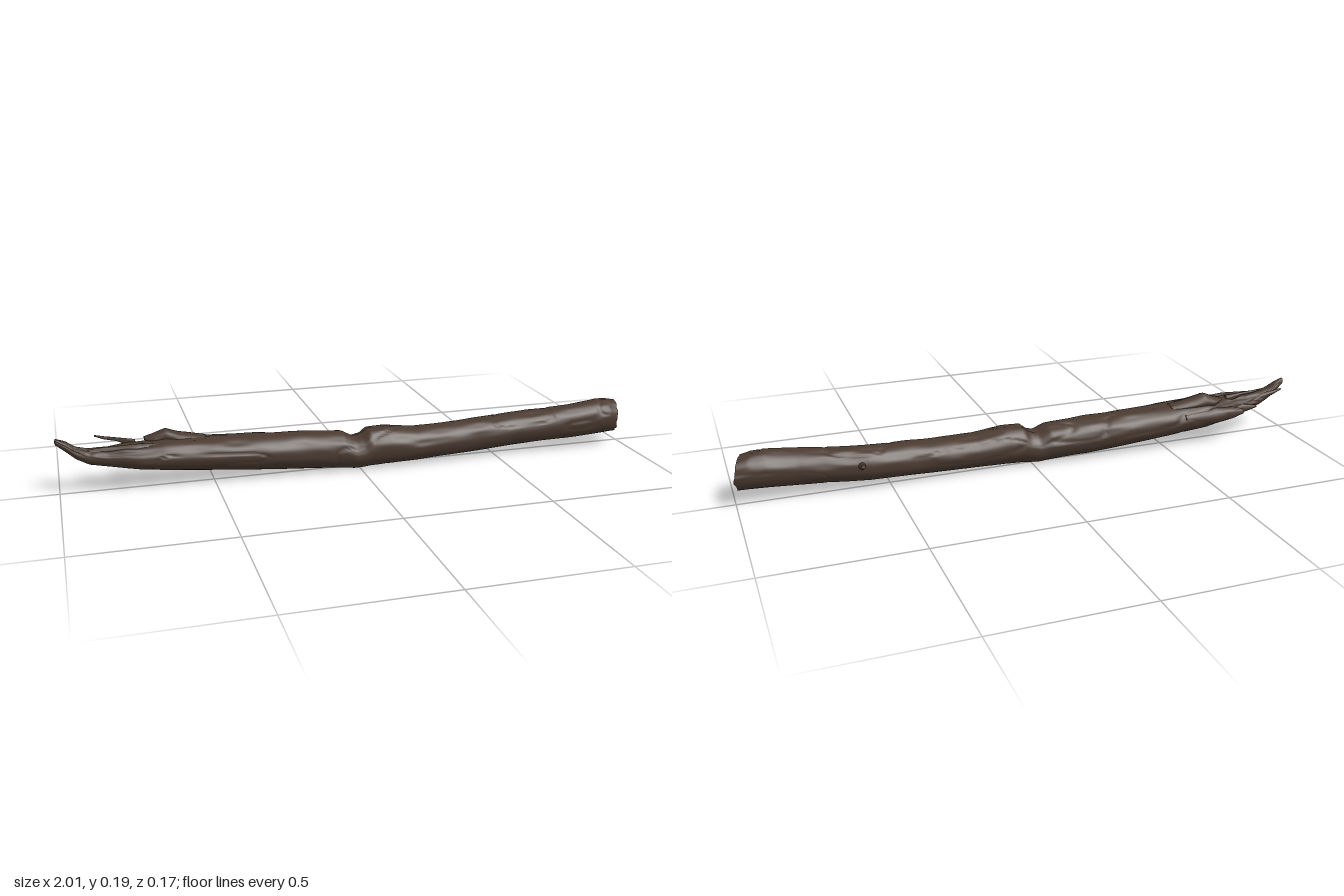
import * as THREE from 'three';

// Smooth value noise, periodic in v with period p
const hash = (i, j, s) => {
  const n = Math.sin(i * 127.1 + j * 311.7 + s * 74.7) * 43758.5453;
  return n - Math.floor(n);
};
function noise(u, v, p, s) {
  const i = Math.floor(u), j = Math.floor(v);
  const fade = t => t * t * (3 - 2 * t);
  const fu = fade(u - i), fv = fade(v - j);
  const at = (a, b) => hash(a, ((b % p) + p) % p, s);
  const mix = THREE.MathUtils.lerp;
  return mix(mix(at(i, j), at(i + 1, j), fu), mix(at(i, j + 1), at(i + 1, j + 1), fu), fv) * 2 - 1;
}

// Section bounds [yMin, yMax, zMin, zMax] at x, from rows of [x, yMin, yMax, zMin, zMax]
function sectionAt(rows, x) {
  let k = 0;
  while (k < rows.length - 2 && x > rows[k + 1][0]) k++;
  const t = THREE.MathUtils.clamp((x - rows[k][0]) / (rows[k + 1][0] - rows[k][0]), 0, 1);
  return [1, 2, 3, 4].map(c => THREE.MathUtils.lerp(rows[k][c], rows[k + 1][c], t));
}

// Long-grained bark relief; the underside is worn smoother than the top
function bark(x, a, rough, seed) {
  const v = a / (2 * Math.PI);
  const up = 0.35 + 0.65 * THREE.MathUtils.smoothstep(Math.sin(a), -0.5, 0.4);
  const broad = noise(x * 7, v * 6, 6, seed);
  const grain = noise(x * 14, v * 22, 22, seed + 1);
  const crack = Math.max(0, 1 - Math.abs(noise(x * 5, v * 9, 9, seed + 2)) * 9);
  const broken = 1 + 1.3 * THREE.MathUtils.smoothstep(-x, 0.55, 0.85);
  return 1 + rough * up * broken * (broad * 0.5 + grain * 0.5 - crack * 0.9);
}

function surfacePoint(rows, x, a, rough, seed) {
  const [y0, y1, z0, z1] = sectionAt(rows, x);
  const r = bark(x, a, rough, seed);
  return new THREE.Vector3(x,
    (y0 + y1) / 2 + (y1 - y0) / 2 * r * Math.sin(a),
    (z0 + z1) / 2 + (z1 - z0) / 2 * r * Math.cos(a));
}

// Joins equal closed rings of points into one skin
function skin(rings) {
  const n = rings[0].length, pos = [], idx = [];
  rings.forEach(ring => ring.forEach(p => pos.push(p.x, p.y, p.z)));
  for (let i = 0; i < rings.length - 1; i++) {
    for (let j = 0; j < n; j++) {
      const a = i * n + j, b = i * n + (j + 1) % n;
      idx.push(a, a + n, b, b, a + n, b + n);
    }
  }
  const g = new THREE.BufferGeometry();
  g.setAttribute('position', new THREE.Float32BufferAttribute(pos, 3));
  g.setIndex(idx);
  g.computeVertexNormals();
  return g;
}

function loft(rows, ringCount, sides, rough, seed, bend = p => p) {
  const xa = rows[0][0], xb = rows[rows.length - 1][0], rings = [];
  for (let i = 0; i <= ringCount; i++) {
    const x = THREE.MathUtils.lerp(xa, xb, i / ringCount), ring = [];
    for (let j = 0; j < sides; j++) {
      ring.push(bend(surfacePoint(rows, x, j / sides * 2 * Math.PI, rough, seed)));
    }
    rings.push(ring);
  }
  return rings;
}

const centreOf = ring => ring.reduce((s, p) => s.add(p), new THREE.Vector3()).divideScalar(ring.length);
// Rings shrinking from the rim to its centre, pushed along x by depth(f, j)
const shrink = (ring, steps, depth) => {
  const c = centreOf(ring);
  return Array.from({ length: steps + 1 }, (_, k) => ring.map((p, j) => {
    const q = p.clone().lerp(c, k / steps);
    q.x += depth(k / steps, j);
    return q;
  }));
};

export function createModel() {
  const group = new THREE.Group();
  group.name = 'fallenLog';
  const barkBrown = new THREE.MeshStandardMaterial({ color: 0x4a3a30 });
  barkBrown.name = 'barkBrown';
  const add = (name, geometry) => {
    const mesh = new THREE.Mesh(geometry, barkBrown);
    mesh.name = name;
    group.add(mesh);
    return mesh;
  };

  // Trunk: x, yMin, yMax, zMin, zMax
  const trunk = [
    [-1, 0.168, 0.19, -0.005, 0.012], [-0.97, 0.143, 0.178, -0.015, 0.02],
    [-0.94, 0.118, 0.158, -0.016, 0.03], [-0.9, 0.097, 0.147, -0.022, 0.038],
    [-0.84, 0.085, 0.143, -0.035, 0.046], [-0.79, 0.074, 0.15, -0.045, 0.053],
    [-0.74, 0.064, 0.15, -0.068, 0.06], [-0.66, 0.052, 0.156, -0.085, 0.064],
    [-0.5, 0.036, 0.151, -0.083, 0.067], [-0.38, 0.025, 0.146, -0.079, 0.067],
    [-0.2, 0.011, 0.141, -0.071, 0.067], [-0.06, 0.003, 0.132, -0.061, 0.074],
    [-0.02, 0, 0.112, -0.057, 0.079], [0.01, 0.002, 0.12, -0.054, 0.081],
    [0.03, 0.004, 0.138, -0.053, 0.082], [0.1, 0.007, 0.14, -0.052, 0.084],
    [0.2, 0.01, 0.127, -0.052, 0.082], [0.4, 0.017, 0.131, -0.054, 0.071],
    [0.57, 0.025, 0.14, -0.06, 0.066], [0.68, 0.031, 0.147, -0.05, 0.07],
    [0.8, 0.036, 0.157, -0.041, 0.077], [0.9, 0.042, 0.168, -0.041, 0.079],
    [0.96, 0.045, 0.167, -0.04, 0.077], [1, 0.046, 0.16, -0.036, 0.071],
  ];
  // The sawn end slants back towards the front, with a chipped rim
  const slantEnd = p => {
    const w = THREE.MathUtils.smoothstep(p.x, 0.88, 1);
    const chip = 0.01 * noise(p.y * 45, p.z * 45, 1000, 9) - 0.008;
    const top = -0.15 * Math.max(0, p.y - 0.09);
    p.x += w * (-0.35 * Math.max(0, p.z + 0.03) + top + chip + 0.006);
    return p;
  };
  const trunkRings = loft(trunk, 260, 72, 0.06, 3, slantEnd);
  add('trunk', skin(trunkRings));

  // Hollowed, lumpy face at the thick end
  const rim = trunkRings[trunkRings.length - 1];
  add('endFace', skin(shrink(rim, 10, (f, j) =>
    -0.016 * Math.sin(Math.min(1, f * 2.2) * Math.PI / 2)
    + 0.007 * f * (1 - f) * 4 * noise(f * 5, j / 6, 12, 21))));
  add('splinteredTip', skin(shrink(trunkRings[0], 3, f => -0.004 * f).reverse()));

  // Torn slivers of wood at the broken end and the lip beside the notch
  const slivers = {
    backSliver: [[-0.79, 0.105, 0.122, -0.088, -0.074], [-0.75, 0.09, 0.132, -0.091, -0.06],
      [-0.68, 0.075, 0.135, -0.089, -0.04], [-0.56, 0.08, 0.125, -0.083, -0.04]],
    raisedBark: [[-0.72, 0.15, 0.16, -0.045, -0.02], [-0.69, 0.13, 0.168, -0.06, -0.005],
      [-0.65, 0.125, 0.183, -0.062, 0], [-0.61, 0.125, 0.17, -0.06, 0.01],
      [-0.52, 0.12, 0.152, -0.05, 0.01]],
    looseTwig: [[-0.878, 0.172, 0.177, -0.047, -0.04], [-0.85, 0.162, 0.172, -0.043, -0.033],
      [-0.81, 0.155, 0.167, -0.036, -0.024], [-0.75, 0.13, 0.158, -0.03, -0.01]],
    frontSplinter: [[-0.92, 0.14, 0.147, 0.006, 0.016], [-0.86, 0.127, 0.151, 0, 0.026],
      [-0.76, 0.12, 0.154, 0, 0.035], [-0.66, 0.11, 0.148, 0, 0.035]],
    sideSplinter: [[-0.87, 0.105, 0.113, -0.044, -0.036], [-0.82, 0.094, 0.122, -0.052, -0.03],
      [-0.74, 0.085, 0.128, -0.06, -0.02]],
    tipSplinter: [[-0.985, 0.152, 0.157, -0.02, -0.014], [-0.95, 0.135, 0.15, -0.022, -0.006],
      [-0.88, 0.11, 0.14, -0.022, 0.01]],
  };
  Object.entries(slivers).forEach(([name, rows], i) => {
    const rings = loft(rows, 30, 18, 0.12, 30 + i * 5);
    const first = rings[0].map(() => centreOf(rings[0]));
    const last = rings[30].map(() => centreOf(rings[30]));
    add(name, skin([first, ...rings, last]));
  });

  // Broken branch stub on the back
  const stub = add('branchStub', new THREE.CylinderGeometry(0.007, 0.015, 0.03, 12, 2));
  stub.rotation.set(-Math.PI / 2 + 0.25, 0, 0);
  stub.position.set(0.6, 0.098, -0.06);

  return group;
}
